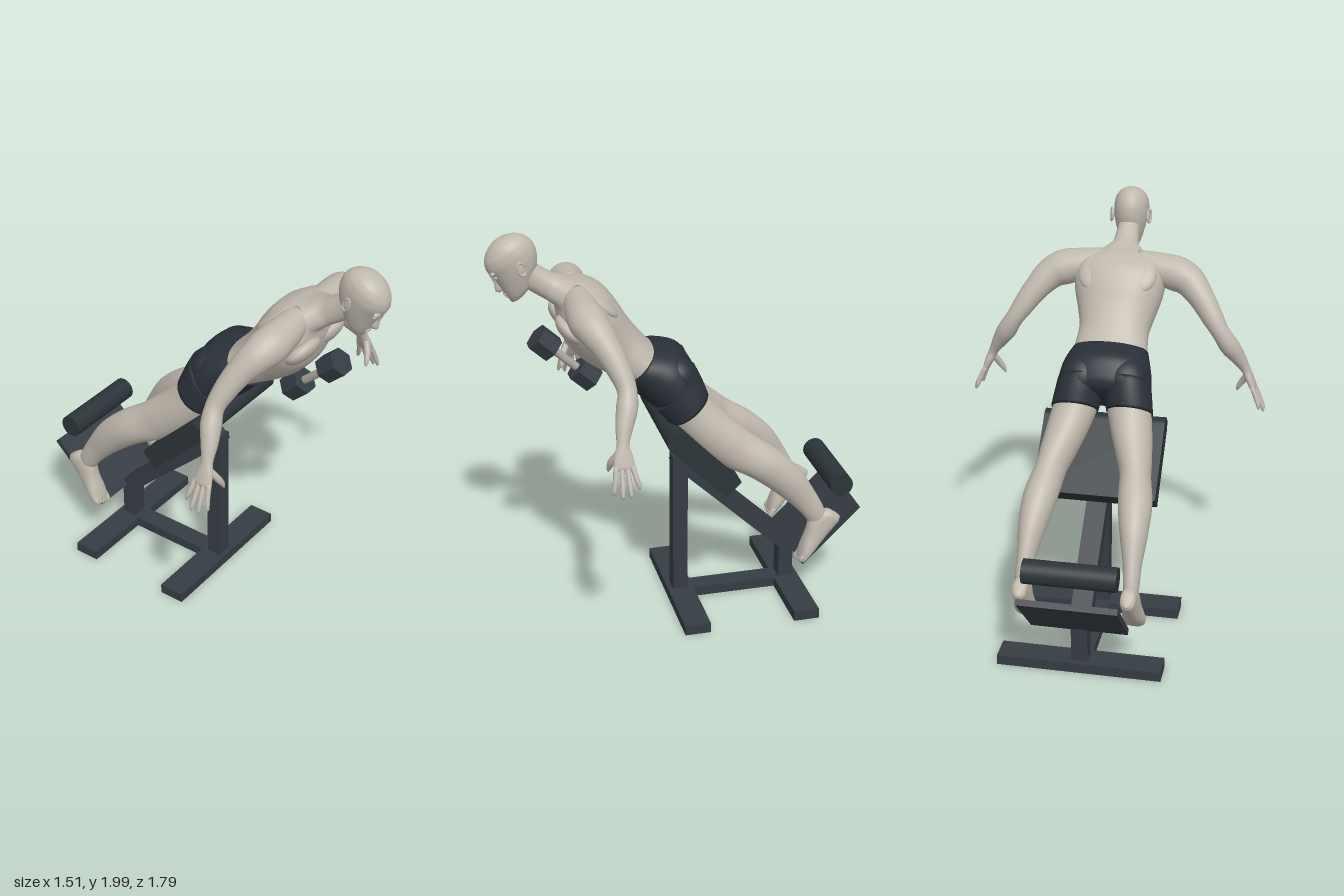
import * as THREE from 'three';

const mat = (name, color) => Object.assign(new THREE.MeshStandardMaterial({ color }), { name });
const V = (x, y, z) => new THREE.Vector3(x, y, z);

// Smooth closed loft through rings { c: centre, a, b: half-axis vectors }
function loft(rings, { sides = 28, steps = 5, power = 2 } = {}) {
  const curve = key => new THREE.CatmullRomCurve3(rings.map(r => r[key]));
  const [C, A, B] = ['c', 'a', 'b'].map(curve);
  const n = (rings.length - 1) * steps, pos = [], idx = [];
  const bulge = v => Math.sign(v) * Math.pow(Math.abs(v), 2 / power);
  for (let i = 0; i <= n; i++) {
    const c = C.getPoint(i / n), a = A.getPoint(i / n), b = B.getPoint(i / n);
    for (let j = 0; j < sides; j++) {
      const t = j / sides * Math.PI * 2;
      pos.push(...c.clone().addScaledVector(a, bulge(Math.cos(t))).addScaledVector(b, bulge(Math.sin(t))).toArray());
    }
  }
  pos.push(...C.getPoint(0).toArray(), ...C.getPoint(1).toArray());
  const mid = rings[rings.length >> 1], along = C.getTangent((rings.length >> 1) / (rings.length - 1));
  const flip = mid.a.clone().cross(mid.b).dot(along) < 0;
  const tri = (p, q, r) => flip ? idx.push(p, r, q) : idx.push(p, q, r);
  const end = (n + 1) * sides;
  for (let j = 0; j < sides; j++) {
    const k = (j + 1) % sides;
    for (let i = 0; i < n; i++) {
      const p = i * sides, q = p + sides;
      tri(p + j, p + k, q + k);
      tri(p + j, q + k, q + j);
    }
    tri(end, k, j);
    tri(end + 1, n * sides + j, n * sides + k);
  }
  const g = new THREE.BufferGeometry();
  g.setAttribute('position', new THREE.Float32BufferAttribute(pos, 3));
  g.setIndex(idx);
  g.computeVertexNormals();
  return g;
}

// Rings from side outline points: [back z, back y, front z, front y, half width, centre x]
const outline = (rows, s = 1, grow = 0) => rows.map(([bz, by, fz, fy, w, x = 0]) => {
  const b = V(0, (fy - by) / 2, (fz - bz) / 2);
  return { c: V(x * s, (by + fy) / 2, (bz + fz) / 2), a: V(w + grow, 0, 0), b: b.setLength(b.length() + grow) };
});

// Rings around a path: [x, y, z, radius, depth radius]
function limb(rows, s = 1) {
  const p = rows.map(r => V(r[0] * s, r[1], r[2]));
  return rows.map(([, , , r, rz = r], i) => {
    const d = p[Math.min(i + 1, p.length - 1)].clone().sub(p[Math.max(i - 1, 0)]).normalize();
    const a = d.clone().cross(V(0, 0, 1)).normalize();
    const b = a.clone().cross(d).normalize();
    return { c: p[i], a: a.multiplyScalar(r), b: b.multiplyScalar(rz) };
  });
}

export function createModel() {
  const root = new THREE.Group();
  const skin = mat('skin', 0xbfb8ad), cloth = mat('shorts fabric', 0x2a3038);
  const steel = mat('frame paint', 0x353c43), vinyl = mat('pad vinyl', 0x2c3439), grip = mat('bare metal', 0xa8a49c);

  const add = (name, geo, m, parent = root, pos = [0, 0, 0], rx = 0) => {
    const mesh = new THREE.Mesh(geo, m);
    mesh.name = name;
    mesh.position.set(...pos);
    mesh.rotation.x = rx;
    parent.add(mesh);
    return mesh;
  };
  const group = (name, parent = root) => {
    const g = new THREE.Group();
    g.name = name;
    parent.add(g);
    return g;
  };
  const box = (name, size, pos, m, parent, rx) => add(name, new THREE.BoxGeometry(...size), m, parent, pos, rx);
  const blob = (name, size, pos, m, parent, rx) => add(name, new THREE.SphereGeometry(1, 24, 16).scale(...size), m, parent, pos, rx);
  const roll = (name, r, len, pos, m, parent) =>
    add(name, new THREE.CylinderGeometry(r, r, len, 32).rotateZ(Math.PI / 2), m, parent, pos);

  // Bench frame
  const bench = group('bench'), tilt = Math.PI / 4;
  box('frontBase', [0.8, 0.05, 0.13], [0, 0.025, -0.015], steel, bench);
  box('rearBase', [0.8, 0.05, 0.13], [0, 0.025, -0.575], steel, bench);
  box('baseRail', [0.1, 0.05, 0.43], [0, 0.025, -0.295], steel, bench);
  box('frontPost', [0.08, 0.75, 0.075], [0, 0.425, -0.0125], steel, bench);
  box('rearPost', [0.08, 0.2, 0.075], [0, 0.15, -0.573], steel, bench);
  box('slantedBeam', [0.1, 0.08, 0.79], [0, 0.515, -0.287], steel, bench, -0.76);
  // Thigh pad with a rounded top end
  box('thighPad', [0.6, 0.105, 0.39], [0, 0.862, -0.077], vinyl, bench, -tilt);
  roll('thighPadEnd', 0.0525, 0.6, [0, 1.0, 0.061], vinyl, bench);
  // Foot plate and ankle roller
  box('footPlate', [0.47, 0.03, 0.41], [0, 0.375, -0.737], steel, bench, tilt);
  roll('ankleRoller', 0.058, 0.44, [0, 0.635, -0.795], vinyl, bench);

  // Dumbbell
  const bell = group('dumbbell');
  bell.position.set(0, 1.365, 0.54);
  bell.rotation.x = 0.83;
  for (const s of [1, -1]) {
    const hex = new THREE.CylinderGeometry(0.067, 0.067, 0.107, 6).rotateY(Math.PI / 6).toNonIndexed();
    hex.computeVertexNormals();
    add('dumbbellHead', hex, steel, bell, [0, 0.128 * s, 0]);
  }
  add('dumbbellHandle', new THREE.CylinderGeometry(0.02, 0.02, 0.2, 20), grip, bell);

  // Neck and torso
  const figure = group('figure');
  add('torso', loft(outline([
    [0.69, 1.87, 0.74, 1.75, 0.055], [0.64, 1.83, 0.695, 1.72, 0.058], [0.575, 1.79, 0.635, 1.68, 0.068],
    [0.5, 1.765, 0.58, 1.64, 0.13], [0.425, 1.75, 0.575, 1.59, 0.205], [0.35, 1.71, 0.565, 1.535, 0.23],
    [0.29, 1.635, 0.535, 1.45, 0.218], [0.245, 1.56, 0.465, 1.37, 0.192], [0.195, 1.49, 0.375, 1.305, 0.173],
    [0.12, 1.405, 0.265, 1.245, 0.182], [0.05, 1.36, 0.22, 1.2, 0.185],
  ]), { sides: 40, power: 2.25 }), skin, figure);

  // Pelvis part of the shorts
  add('shortsTop', loft(outline([
    [0.13, 1.405, 0.28, 1.25, 0.181], [0.065, 1.4, 0.235, 1.21, 0.197], [-0.01, 1.375, 0.19, 1.16, 0.215],
    [-0.065, 1.3, 0.14, 1.115, 0.225], [-0.07, 1.24, 0.085, 1.09, 0.18], [-0.03, 1.18, 0.05, 1.1, 0.08],
  ], 1, 0.005), { sides: 40, power: 2.2 }), cloth, figure);

  // Head, pitched forward
  const head = group('head', figure);
  head.position.set(0, 1.857, 0.757);
  head.rotation.x = 0.56;
  const skull = [
    [-0.152, 0.075, 0.105, 0.018], [-0.143, 0.03, 0.117, 0.036], [-0.12, -0.02, 0.121, 0.053],
    [-0.085, -0.06, 0.122, 0.066], [-0.045, -0.095, 0.12, 0.077], [0, -0.117, 0.121, 0.085],
    [0.04, -0.122, 0.126, 0.088], [0.08, -0.11, 0.113, 0.082], [0.11, -0.082, 0.083, 0.064],
    [0.129, -0.045, 0.045, 0.037], [0.135, -0.006, 0.006, 0.005],
  ];
  add('skull', loft(outline(skull.map(([u, back, front, w]) => [back, u, front, u, w])), { sides: 36 }), skin, head);
  add('nose', loft(outline([
    [0.09, 0.025, 0.127, 0.025, 0.009], [0.09, -0.02, 0.132, -0.025, 0.01],
    [0.09, -0.055, 0.148, -0.062, 0.017], [0.1, -0.073, 0.138, -0.075, 0.014],
  ]), { sides: 16 }), skin, head);
  blob('upperLip', [0.026, 0.007, 0.01], [0, -0.096, 0.118], skin, head);
  blob('lowerLip', [0.022, 0.008, 0.01], [0, -0.109, 0.117], skin, head);
  blob('chin', [0.022, 0.016, 0.015], [0, -0.138, 0.104], skin, head);

  for (const s of [1, -1]) {
    blob('brow', [0.03, 0.009, 0.014], [0.036 * s, 0.03, 0.107], skin, head);
    blob('eyelid', [0.017, 0.01, 0.01], [0.034 * s, 0.003, 0.107], skin, head);
    // Ear: a flat shell with a raised rim
    const ear = group('ear', head);
    ear.position.set(0.091 * s, -0.012, -0.012);
    ear.rotation.set(-0.2, 0.35 * s, 0);
    blob('earShell', [0.008, 0.033, 0.02], [0, 0, 0], skin, ear);
    add('earRim', new THREE.TorusGeometry(0.02, 0.005, 8, 24).rotateY(Math.PI / 2).scale(1, 1.55, 1), skin, ear, [0.006 * s, 0, 0]);

    // Chest, shoulder blade and buttock masses
    blob('chestMuscle', [0.105, 0.085, 0.045], [0.1 * s, 1.545, 0.528], skin, figure, 0.75);
    blob('shoulderBlade', [0.075, 0.1, 0.035], [0.12 * s, 1.665, 0.385], skin, figure, 0.85);
    blob('buttock', [0.105, 0.105, 0.085], [0.105 * s, 1.275, 0.012], cloth, figure, 0.7);

    // Arm
    const arm = group(s > 0 ? 'leftArm' : 'rightArm', figure);
    add('armSkin', loft(limb([
      [0.07, 1.695, 0.49, 0.06], [0.18, 1.67, 0.485, 0.08], [0.28, 1.65, 0.478, 0.088], [0.35, 1.62, 0.455, 0.079],
      [0.42, 1.55, 0.408, 0.063], [0.48, 1.467, 0.37, 0.053], [0.525, 1.4, 0.352, 0.045], [0.565, 1.335, 0.362, 0.049],
      [0.61, 1.265, 0.385, 0.038, 0.04], [0.648, 1.2, 0.4, 0.024, 0.029], [0.668, 1.155, 0.403, 0.022, 0.042],
      [0.69, 1.105, 0.403, 0.016, 0.049], [0.695, 1.092, 0.403, 0.008, 0.04],
    ], s)), skin, arm);
    // Fingers: [knuckle z, tip x, tip y, tip z]
    for (const [kz, x, y, z] of [[0.44, 0.725, 0.995, 0.458], [0.415, 0.745, 0.978, 0.422], [0.39, 0.745, 0.982, 0.385], [0.366, 0.725, 1.01, 0.343]])
      add('finger', loft(limb([
        [0.686, 1.115, kz, 0.012], [(0.7 + x) / 2, (1.105 + y) / 2, (kz + z) / 2, 0.0125], [x, y + 0.012, z, 0.009], [x, y, z, 0.003],
      ], s), { sides: 10, steps: 3 }), skin, arm);
    add('thumb', loft(limb([
      [0.66, 1.17, 0.42, 0.016], [0.635, 1.12, 0.447, 0.017], [0.612, 1.08, 0.457, 0.013], [0.603, 1.055, 0.46, 0.004],
    ], s), { sides: 12, steps: 3 }), skin, arm);

    // Leg, with the short's leg over its top
    const leg = group(s > 0 ? 'leftLeg' : 'rightLeg', figure);
    const thigh = [
      [-0.055, 1.32, 0.13, 1.12, 0.108, 0.115], [-0.09, 1.245, 0.095, 1.08, 0.109, 0.125], [-0.115, 1.178, 0.06, 1.04, 0.108, 0.135],
    ];
    add('shortsLeg', loft(outline(thigh, s, 0.007)), cloth, leg);
    add('legSkin', loft(outline([
      ...thigh.slice(1), [-0.19, 1.09, -0.015, 0.955, 0.1, 0.16], [-0.265, 1.02, -0.115, 0.865, 0.086, 0.187],
      [-0.33, 0.965, -0.195, 0.81, 0.076, 0.206], [-0.445, 0.885, -0.305, 0.755, 0.082, 0.225],
      [-0.56, 0.775, -0.435, 0.66, 0.068, 0.24], [-0.64, 0.645, -0.555, 0.55, 0.044, 0.251],
      [-0.685, 0.56, -0.612, 0.478, 0.038, 0.256], [-0.715, 0.49, -0.635, 0.43, 0.03, 0.256],
    ], s)), skin, leg);
    // Foot from heel to toes
    add('foot', loft(outline([
      [-0.779, 0.485, -0.758, 0.507, 0.012, 0.254], [-0.77, 0.46, -0.71, 0.535, 0.035, 0.255],
      [-0.73, 0.415, -0.625, 0.51, 0.042, 0.256], [-0.68, 0.36, -0.6, 0.425, 0.046, 0.259],
      [-0.63, 0.305, -0.577, 0.355, 0.054, 0.262], [-0.6, 0.275, -0.565, 0.31, 0.052, 0.263], [-0.585, 0.262, -0.562, 0.29, 0.044, 0.263],
    ], s), { power: 2.3 }), skin, leg);
    for (let i = 0; i < 5; i++) {
      const x = 0.222 + i * 0.02, r = i ? 0.0105 : 0.015, y = 0.256 + i * 0.006;
      add('toe', loft(limb([
        [x, 0.305, -0.59, r], [x, y + 0.02, -0.572, r * 1.05], [x, y + 0.003, -0.566, r * 0.8], [x, y - 0.004, -0.566, r * 0.2],
      ], s), { sides: 10, steps: 3 }), skin, leg);
    }
  }
  return root;
}
